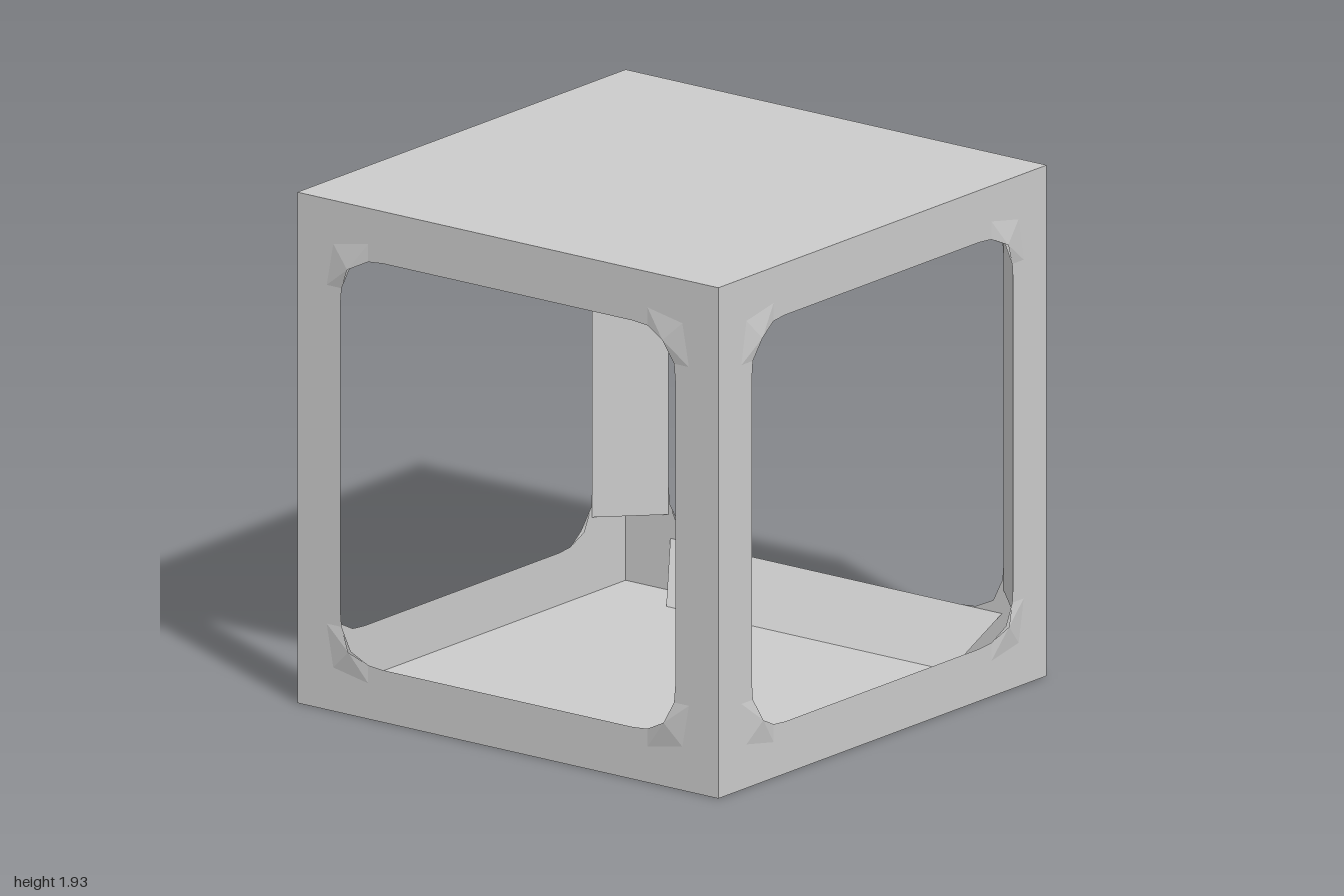
import * as THREE from 'three';

const H = 0.965;   // half side of the cube
const W = 0.768;   // half side of each window
const SIDES = [0, 1, 2, 3];

const material = new THREE.MeshStandardMaterial({ color: 0xcccccc, flatShading: true, side: THREE.DoubleSide });

function addMesh(parent, geometry, name) {
  const mesh = new THREE.Mesh(geometry, material);
  mesh.name = name;
  parent.add(mesh);
  return mesh;
}

// Fan of triangles around the first point
function fan(points) {
  const g = new THREE.BufferGeometry().setFromPoints(points.map(p => new THREE.Vector3(...p)));
  const index = [];
  for (let i = 1; i < points.length - 1; i++) index.push(0, i, i + 1);
  g.setIndex(index);
  const flat = g.toNonIndexed();
  flat.computeVertexNormals();
  return flat;
}

// Wall sheet with a window whose corners are faceted curves
function wallGeometry() {
  const shape = new THREE.Shape([[-H, -H], [H, -H], [H, H], [-H, H]].map(p => new THREE.Vector2(...p)));
  const corner = [[W, 0.57], [0.762, 0.64], [0.72, 0.725], [0.64, 0.762], [0.57, W]];
  const points = SIDES.flatMap(k => corner.map(([x, y]) =>
    new THREE.Vector2(x, y).rotateAround(new THREE.Vector2(), k * Math.PI / 2)));
  shape.holes.push(new THREE.Path(points.reverse()));
  return new THREE.ShapeGeometry(shape);
}

export function createModel() {
  const model = new THREE.Group();
  model.name = 'windowedCube';
  const cube = new THREE.Group();
  cube.name = 'cube';
  cube.position.y = H;
  cube.rotation.y = 0.0207;
  model.add(cube);

  // Solid roof and floor
  for (const [name, s] of [['roof', 1], ['floor', -1]]) {
    const sheet = addMesh(cube, new THREE.PlaneGeometry(2 * H, 2 * H), name);
    sheet.rotation.x = -s * Math.PI / 2;
    sheet.position.y = s * H;
  }

  const wall = wallGeometry();
  // Low raised patch hugging a window corner
  const patch = fan([[0.72, 0.725, 0.015], [0.762, 0.64, 0], [0.83, 0.64, 0],
    [0.8, 0.8, 0], [0.64, 0.83, 0], [0.64, 0.762, 0]]);
  // Slanted plate across the inside of an upright edge
  const post = fan([[W, -0.68, H], [W, 0.68, H], [H, 0.68, W], [H, -0.68, W]]);

  for (const k of SIDES) {
    const side = new THREE.Group();
    side.name = 'side';
    side.rotation.y = k * Math.PI / 2;
    cube.add(side);
    addMesh(side, wall, 'wall').position.z = H;
    addMesh(side, post, 'cornerPlate');
    for (const c of SIDES) {
      const bump = addMesh(side, patch, 'cornerPatch');
      bump.position.z = H;
      bump.rotation.z = c * Math.PI / 2;
    }
  }

  // Slanted plates along the roof and floor on the left and right walls
  for (const sx of [1, -1]) for (const sy of [1, -1]) {
    addMesh(cube, fan([[sx * H, sy * W, -0.76], [sx * H, sy * W, 0.76],
      [sx * 0.8, sy * H, 0.65], [sx * 0.8, sy * H, -0.65]]), 'edgePlate');
  }
  return model;
}
